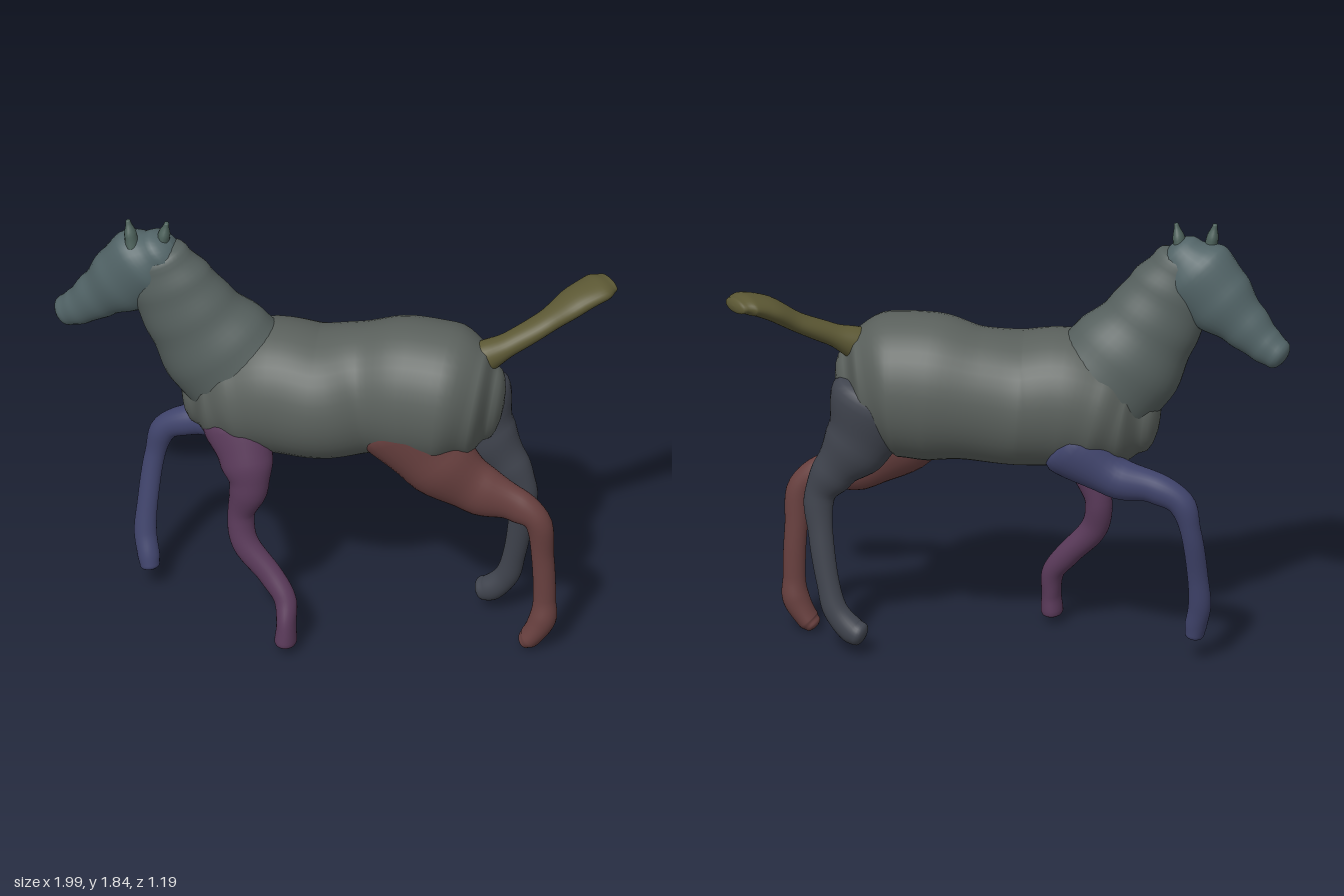
import * as THREE from 'three';

// Horizontal direction across the body
const ACROSS = new THREE.Vector3(0.41, 0, 0.91);

// Smooth loft. Each station is [x, y, z, halfWidth across, halfDepth]; the ends are domed.
function loft(stations, { side = ACROSS, steps = 6, sides = 28, dome = 0.5 } = {}) {
  const path = new THREE.CatmullRomCurve3(stations.map(s => new THREE.Vector3(s[0], s[1], s[2])), false, 'centripetal');
  const last = stations.length - 1, count = last * steps;
  const rings = [];
  for (let i = 0; i <= count; i++) {
    const t = i / count, k = Math.min(Math.floor(t * last), last - 1);
    const f = THREE.MathUtils.smoothstep(t * last - k, 0, 1);
    const [A, B] = [stations[k], stations[k + 1]];
    rings.push({
      c: path.getPoint(t), t: path.getTangent(t),
      a: THREE.MathUtils.lerp(A[3], B[3], f), b: THREE.MathUtils.lerp(A[4], B[4], f),
    });
  }
  const cap = (r, sign) => [1, 2, 3, 4].map(i => {
    const q = i * Math.PI / 8, s = Math.max(Math.cos(q), 0.01);
    const c = r.c.clone().addScaledVector(r.t, sign * Math.sin(q) * dome * Math.min(r.a, r.b));
    return { c, t: r.t, a: r.a * s, b: r.b * s };
  });
  const all = [...cap(rings[0], -1).reverse(), ...rings, ...cap(rings[count], 1)];
  const pos = [], index = [];
  all.forEach((r, i) => {
    const s = side.clone().addScaledVector(r.t, -side.dot(r.t)).normalize();
    const up = r.t.clone().cross(s);
    for (let j = 0; j < sides; j++) {
      const q = j / sides * Math.PI * 2;
      const p = r.c.clone().addScaledVector(s, Math.cos(q) * r.a).addScaledVector(up, Math.sin(q) * r.b);
      pos.push(p.x, p.y, p.z);
      if (i === all.length - 1) continue;
      const n = (j + 1) % sides, o = i * sides, w = o + sides;
      index.push(o + j, o + n, w + n, o + j, w + n, w + j);
    }
  });
  const g = new THREE.BufferGeometry();
  g.setAttribute('position', new THREE.Float32BufferAttribute(pos, 3));
  g.setIndex(index);
  g.computeVertexNormals();
  return g;
}

export function createModel() {
  const model = new THREE.Group();
  model.name = 'foal';
  const add = (name, color, stations, options) => {
    const mesh = new THREE.Mesh(loft(stations, options), new THREE.MeshStandardMaterial({ color }));
    mesh.name = name;
    model.add(mesh);
  };

  // Barrel, chest and rump
  add('torso', 0x5a605c, [
    [-0.45, 1.03, 0.34, 0.11, 0.15],
    [-0.37, 1.04, 0.31, 0.2, 0.21],
    [-0.27, 1.07, 0.27, 0.245, 0.26],
    [-0.14, 1.1, 0.215, 0.26, 0.285],
    [0.02, 1.09, 0.145, 0.275, 0.275],
    [0.17, 1.11, 0.05, 0.245, 0.275],
    [0.34, 1.13, -0.02, 0.265, 0.305],
    [0.48, 1.13, -0.07, 0.265, 0.3],
    [0.59, 1.11, -0.12, 0.2, 0.25],
    [0.65, 1.1, -0.15, 0.1, 0.17],
  ], { sides: 40 });

  // Neck rising from the shoulders
  add('neck', 0x56605e, [
    [-0.25, 1.13, 0.26, 0.2, 0.25],
    [-0.36, 1.27, 0.32, 0.185, 0.245],
    [-0.45, 1.42, 0.375, 0.15, 0.2],
    [-0.52, 1.56, 0.415, 0.125, 0.175],
    [-0.57, 1.68, 0.44, 0.1, 0.13],
  ], { sides: 36 });

  // Head from poll to muzzle
  add('head', 0x526467, [
    [-0.55, 1.72, 0.435, 0.09, 0.1],
    [-0.62, 1.645, 0.45, 0.12, 0.165],
    [-0.71, 1.545, 0.475, 0.11, 0.15],
    [-0.81, 1.45, 0.5, 0.085, 0.105],
    [-0.89, 1.375, 0.52, 0.072, 0.08],
    [-0.95, 1.335, 0.53, 0.062, 0.065],
  ], { dome: 0.6 });

  // Ears
  for (const [name, x, z, lean] of [['rightEar', -0.65, 0.5, -0.025], ['leftEar', -0.56, 0.43, 0.025]]) {
    add(name, 0x4c605a, [
      [x, 1.72, z, 0.045, 0.03],
      [x + lean * 0.5, 1.79, z, 0.035, 0.025],
      [x + lean, 1.85, z, 0.012, 0.01],
    ], { sides: 14 });
  }

  // Raised foreleg, far side
  add('rightForeleg', 0x40446c, [
    [-0.22, 0.95, 0.12, 0.12, 0.14],
    [-0.4, 0.82, 0.17, 0.08, 0.085],
    [-0.55, 0.785, 0.225, 0.06, 0.065],
    [-0.655, 0.725, 0.26, 0.05, 0.055],
    [-0.69, 0.6, 0.28, 0.04, 0.042],
    [-0.695, 0.4, 0.325, 0.036, 0.042],
    [-0.69, 0.26, 0.35, 0.04, 0.046],
    [-0.665, 0.17, 0.365, 0.045, 0.045],
    [-0.655, 0.125, 0.37, 0.045, 0.04],
  ]);

  // Supporting foreleg, near side
  add('leftForeleg', 0x5a3a5a, [
    [-0.22, 0.98, 0.38, 0.1, 0.15],
    [-0.16, 0.84, 0.415, 0.085, 0.11],
    [-0.14, 0.73, 0.425, 0.07, 0.08],
    [-0.175, 0.58, 0.43, 0.055, 0.055],
    [-0.15, 0.46, 0.44, 0.05, 0.055],
    [-0.04, 0.33, 0.42, 0.045, 0.05],
    [0.03, 0.24, 0.42, 0.045, 0.045],
    [0.05, 0.14, 0.44, 0.055, 0.04],
    [0.05, 0.06, 0.445, 0.06, 0.045],
  ]);

  // Hind leg stretched back, near side
  add('leftHindLeg', 0x68403f, [
    [0.38, 1.06, 0.07, 0.15, 0.23],
    [0.5, 0.88, 0.03, 0.13, 0.16],
    [0.65, 0.75, -0.04, 0.085, 0.115],
    [0.8, 0.69, -0.1, 0.055, 0.075],
    [0.88, 0.63, -0.13, 0.05, 0.055],
    [0.895, 0.45, -0.15, 0.042, 0.046],
    [0.9, 0.25, -0.155, 0.042, 0.046],
    [0.895, 0.15, -0.15, 0.055, 0.055],
    [0.85, 0.06, -0.13, 0.058, 0.045],
    [0.83, 0.04, -0.125, 0.05, 0.035],
  ]);

  // Hind leg stepping forward, far side
  add('rightHindLeg', 0x40444e, [
    [0.5, 1.08, -0.17, 0.13, 0.2],
    [0.58, 0.9, -0.2, 0.1, 0.14],
    [0.67, 0.77, -0.235, 0.07, 0.09],
    [0.725, 0.66, -0.255, 0.05, 0.062],
    [0.71, 0.5, -0.27, 0.042, 0.05],
    [0.67, 0.3, -0.28, 0.04, 0.046],
    [0.635, 0.19, -0.28, 0.042, 0.05],
    [0.57, 0.115, -0.265, 0.05, 0.055],
    [0.535, 0.1, -0.26, 0.05, 0.05],
  ]);

  // Raised tail with a broad tip
  add('tail', 0x5c5834, [
    [0.6, 1.3, -0.14, 0.065, 0.07],
    [0.69, 1.36, -0.23, 0.055, 0.045],
    [0.78, 1.43, -0.34, 0.06, 0.04],
    [0.86, 1.51, -0.44, 0.085, 0.045],
    [0.91, 1.545, -0.52, 0.09, 0.04],
    [0.93, 1.55, -0.57, 0.065, 0.03],
  ], { side: new THREE.Vector3(0.8, 0, 0.6) });

  return model;
}
